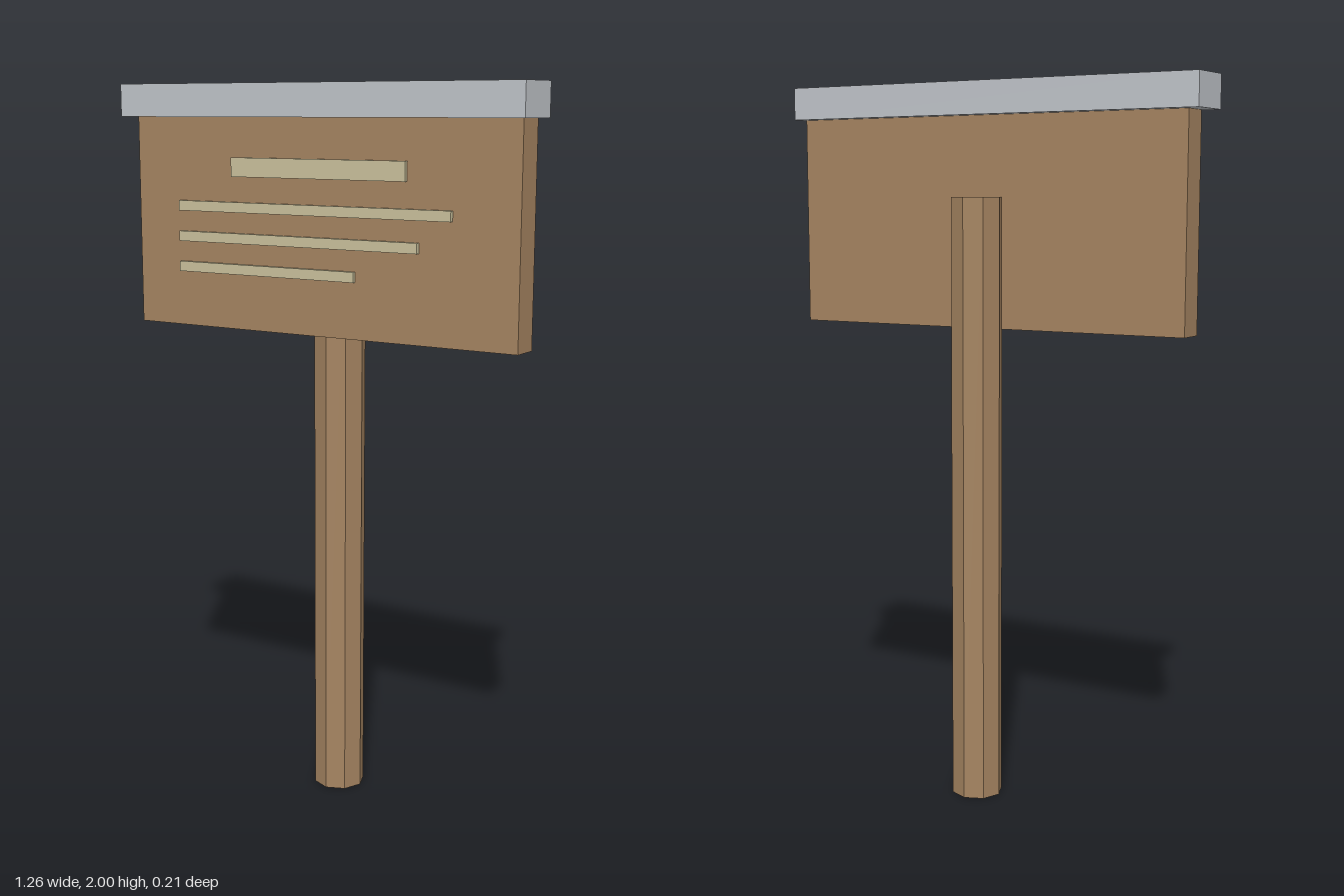
import * as THREE from 'three';

export function createModel() {
  const model = new THREE.Group();
  model.name = 'signpost';

  const material = (name, color) => {
    const m = new THREE.MeshStandardMaterial({ color });
    m.name = name;
    return m;
  };
  const wood = material('wood', 0xa58461);
  const metal = material('pale grey metal', 0xc0c4c9);
  const cream = material('cream', 0xcac19c);

  // Box given by its lower and upper limits on each axis
  const box = (name, mat, [x0, x1], [y0, y1], [z0, z1]) => {
    const mesh = new THREE.Mesh(new THREE.BoxGeometry(x1 - x0, y1 - y0, z1 - z0), mat);
    mesh.position.set((x0 + x1) / 2, (y0 + y1) / 2, (z0 + z1) / 2);
    mesh.name = name;
    model.add(mesh);
  };

  // Eight-sided post, standing behind and partly sunk into the board
  const postGeometry = new THREE.CylinderGeometry(0.072, 0.072, 1.69, 8).toNonIndexed();
  postGeometry.computeVertexNormals();
  const post = new THREE.Mesh(postGeometry, wood);
  post.position.set(0.014, 0.845, -0.036);
  post.name = 'post';
  model.add(post);

  // Sign board and its overhanging cap
  box('board', wood, [-0.59, 0.615], [1.33, 1.91], [0, 0.08]);
  box('cap', metal, [-0.632, 0.63], [1.91, 2], [-0.036, 0.105]);

  // Raised heading bar and three text bars
  const bars = [
    ['headingBar', -0.26, 0.29, 1.75, 1.802],
    ['textBar1', -0.443, 0.424, 1.653, 1.681],
    ['textBar2', -0.443, 0.327, 1.568, 1.596],
    ['textBar3', -0.443, 0.135, 1.483, 1.511],
  ];
  for (const [name, x0, x1, y0, y1] of bars) box(name, cream, [x0, x1], [y0, y1], [0.075, 0.091]);

  return model;
}
